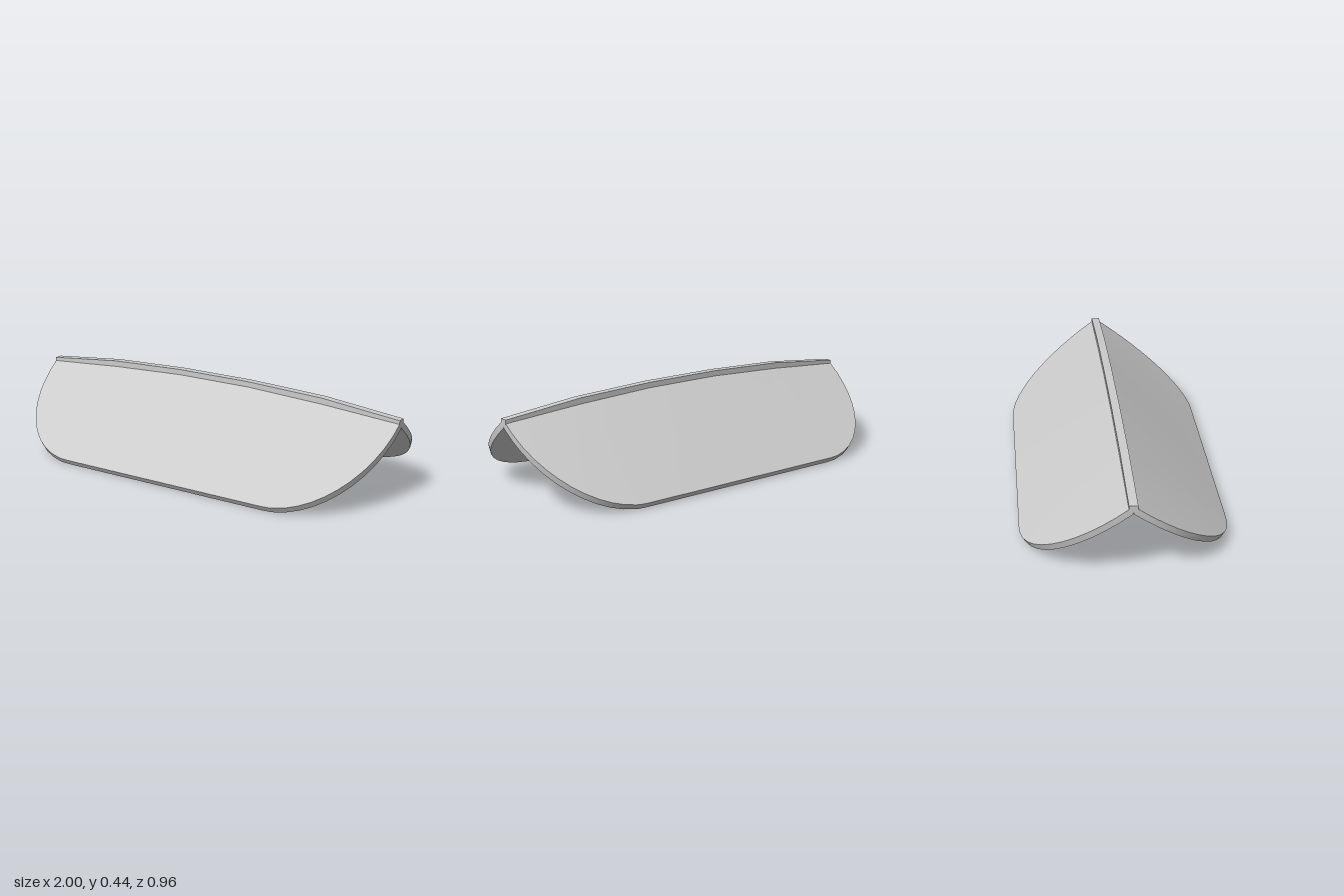
import * as THREE from 'three';
import { toCreasedNormals } from 'three/addons/utils/BufferGeometryUtils.js';

const REACH = 0.463, RIDGE_Y = 0.34;      // underside run and height of one slope
const FLAT = 0.56, HALF = 1;              // straight part of the eave, half length

// piecewise-linear value along the ridge, with knots at |x| = 0.2, 0.6, 1
function alongRidge(x, mid, shoulder, end) {
  const a = Math.abs(x);
  if (a <= 0.2) return mid;
  if (a <= 0.6) return mid + (shoulder - mid) * (a - 0.2) / 0.4;
  return shoulder + (end - shoulder) * (a - 0.6) / 0.4;
}

// sloping plate with elliptical corners, thickened toward the arched ridge
function slopeGeometry() {
  const xs = [0.2, 0.6];
  for (let i = 0; i <= 12; i++) xs.push(FLAT + (HALF - FLAT) * Math.cos(i / 12 * Math.PI / 2));
  const columns = [...xs, ...xs.map(x => -x)].sort((a, b) => a - b);
  const positions = [], index = [];
  columns.forEach((x, i) => {
    const u = Math.max(0, (Math.abs(x) - FLAT) / (HALF - FLAT));
    const f = Math.sqrt(Math.max(0, 1 - u * u));
    const z = REACH * f, y = RIDGE_Y * (1 - f);
    const lift = alongRidge(x, 0.046, 0.028, 0);
    positions.push(
      x, y, z,                                              // inner eave
      x, y + 0.025 + lift * (1 - f), z + 0.017,             // outer eave
      x, RIDGE_Y + 0.025 + lift, 0.017,                     // outer ridge
      x, RIDGE_Y, 0);                                       // inner ridge
    if (i === 0) return;
    for (let k = 0; k < 4; k++) {
      const n = (k + 1) % 4, p = (i - 1) * 4, q = i * 4;
      index.push(p + k, q + k, q + n, p + k, q + n, p + n);
    }
  });
  const geometry = new THREE.BufferGeometry();
  geometry.setAttribute('position', new THREE.Float32BufferAttribute(positions, 3));
  geometry.setIndex(index);
  return toCreasedNormals(geometry, 0.4);
}

// arched bar capping the joint
function ridgeGeometry() {
  const shape = new THREE.Shape();
  shape.moveTo(-HALF, 0.345);
  shape.lineTo(HALF, 0.345);
  for (const x of [1, 0.6, 0.2, -0.2, -0.6, -1]) shape.lineTo(x, alongRidge(x, 0.435, 0.42, 0.38));
  const geometry = new THREE.ExtrudeGeometry(shape, { depth: 0.04, bevelEnabled: false });
  return geometry.translate(0, 0, -0.02);
}

export function createModel() {
  const model = new THREE.Group();
  const material = new THREE.MeshStandardMaterial({ color: 0xcccccc });
  const slope = slopeGeometry();

  // the two slopes are half a turn apart
  ['frontSlope', 'backSlope'].forEach((name, i) => {
    const mesh = new THREE.Mesh(slope, material);
    mesh.name = name;
    mesh.rotation.y = i * Math.PI;
    model.add(mesh);
  });

  const ridge = new THREE.Mesh(ridgeGeometry(), material);
  ridge.name = 'ridgeBar';
  model.add(ridge);
  return model;
}
